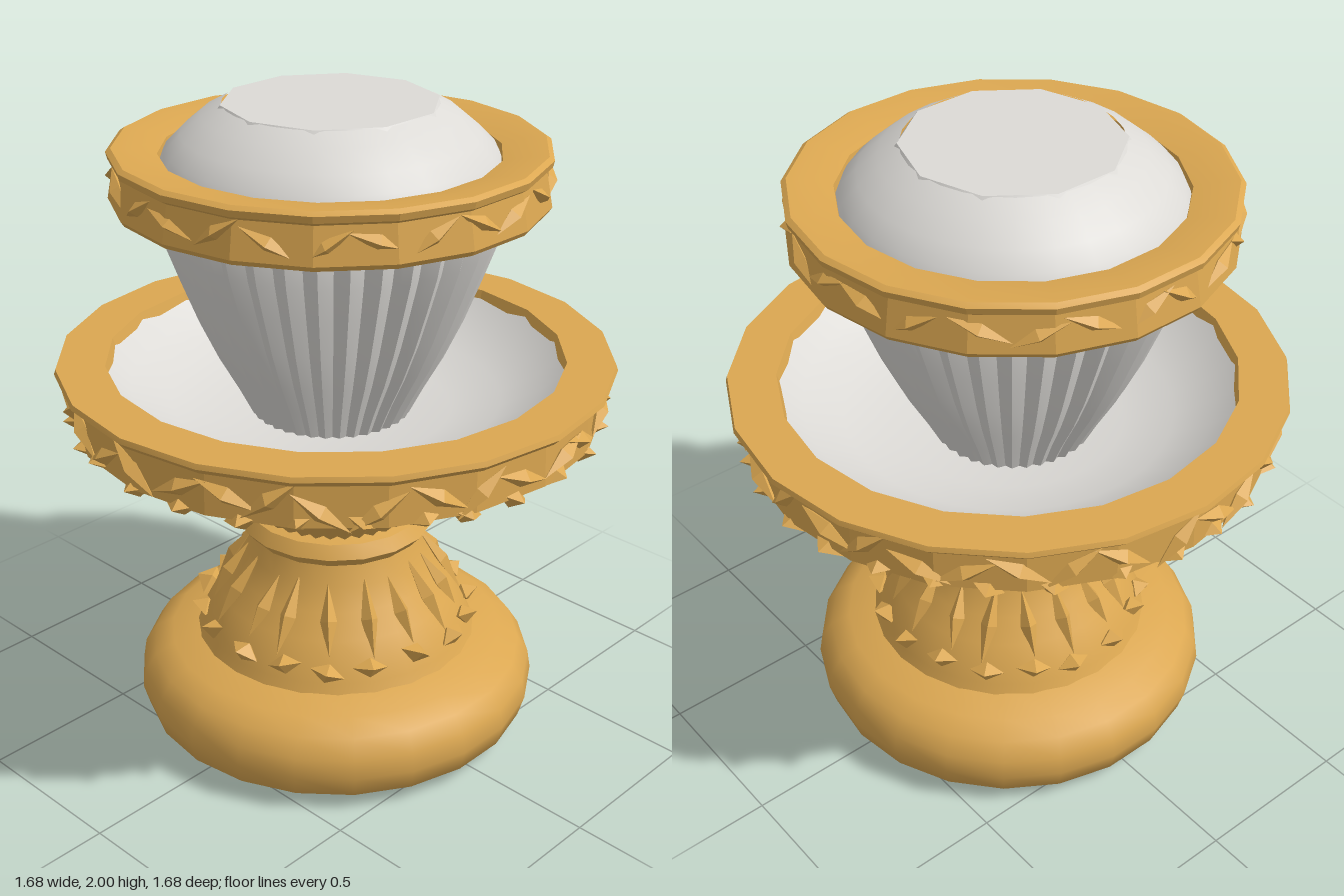
import * as THREE from 'three';
import { toCreasedNormals } from 'three/addons/utils/BufferGeometryUtils.js';

export function createModel() {
  const root = new THREE.Group();
  root.name = 'tieredFountain';
  const gold = new THREE.MeshStandardMaterial({ color: 0xdba751 });
  gold.name = 'warm gold';
  const white = new THREE.MeshStandardMaterial({ color: 0xdcdad6 });
  white.name = 'pale water and marble';

  // Small repeatable noise for the carved ornament
  let seed = 7;
  const rand = () => (seed = (seed * 16807) % 2147483647) / 2147483647;
  const vary = (amount) => (rand() - 0.5) * 2 * amount;

  const add = (name, geometry, material, parent = root) => {
    const mesh = new THREE.Mesh(geometry, material);
    mesh.name = name;
    parent.add(mesh);
    return mesh;
  };

  // Turned part from [radius, height] points, listed bottom to top on the outside
  const turn = (points, sides, crease = 0.6) => toCreasedNormals(
    new THREE.LatheGeometry(points.map(([r, y]) => new THREE.Vector2(r, y)), sides), crease);

  // Turned part with vertical flutes pressed into it
  const flute = (points, ribs, depth) => {
    const geometry = new THREE.LatheGeometry(points.map(([r, y]) => new THREE.Vector2(r, y)), ribs * 4);
    const p = geometry.attributes.position;
    for (let i = 0; i < p.count; i++) {
      const angle = Math.atan2(p.getX(i), p.getZ(i));
      const k = 1 - depth * (0.5 - 0.5 * Math.cos(angle * ribs));
      p.setXYZ(i, p.getX(i) * k, p.getY(i), p.getZ(i) * k);
    }
    return toCreasedNormals(geometry, 0.7);
  };

  // Ring of faceted leaves lying on a band or slope
  const leaves = (name, count, place) => {
    const group = new THREE.Group();
    group.name = name;
    for (let i = 0; i < count; i++) {
      const { r, y, size, tilt = 0, roll = 0 } = place(i);
      const geometry = new THREE.OctahedronGeometry(1).scale(...size)
        .rotateZ(roll).rotateX(tilt).translate(0, y, r)
        .rotateY(((i + vary(0.15)) / count) * Math.PI * 2);
      add('leaf', geometry, gold, group);
    }
    root.add(group);
    return group;
  };

  // Rounded foot
  add('base', turn([[0, 0.005], [0.48, 0.005], [0.56, 0.02], [0.615, 0.06], [0.635, 0.13],
    [0.625, 0.19], [0.59, 0.245], [0.53, 0.28], [0.43, 0.305]], 22, 0.9), gold);

  // Pedestal with carved leaves
  add('pedestal', turn([[0.45, 0.29], [0.43, 0.33], [0.415, 0.37], [0.37, 0.44], [0.32, 0.51],
    [0.28, 0.58], [0.255, 0.66]], 24, 0.9), gold);
  leaves('pedestalLongLeaves', 18, (i) => ({
    r: 0.335, y: 0.49, size: [0.026, i % 2 ? 0.14 : 0.115, 0.03], tilt: -0.55, roll: vary(0.12) }));
  leaves('pedestalLeafTips', 18, (i) => ({
    r: 0.42, y: 0.375 + vary(0.015), size: [0.055, 0.03, 0.045], tilt: -0.4, roll: vary(0.6) }));

  // Collar between pedestal and bowl
  add('collar', turn([[0.25, 0.645], [0.275, 0.65], [0.305, 0.685], [0.28, 0.725], [0.24, 0.735]], 18, 0.3), gold);

  // Large fluted bowl
  add('lowerBowl', flute([[0.245, 0.72], [0.29, 0.765], [0.36, 0.83], [0.45, 0.915],
    [0.545, 1.0], [0.63, 1.06], [0.73, 1.1]], 36, 0.07), gold);
  add('lowerRim', turn([[0.66, 1.09], [0.76, 1.06], [0.8, 1.07], [0.795, 1.195], [0.82, 1.205],
    [0.84, 1.225], [0.835, 1.24], [0.69, 1.24], [0.675, 1.19]], 20, 0.3), gold);
  leaves('lowerRimLeaves', 34, (i) => ({
    r: 0.795, y: 1.13 + vary(0.015), size: [0.1, 0.026, 0.03], roll: (i % 2 ? 0.55 : -0.5) + vary(0.2) }));
  leaves('lowerRimFringe', 30, () => ({
    r: 0.775, y: 1.075 + vary(0.01), size: [0.055, 0.032, 0.05], roll: vary(0.5) }));
  add('lowerBowlLining', turn([[0.695, 1.225], [0.62, 1.16], [0.5, 1.1], [0.35, 1.06], [0, 1.045]], 32, 1), white);

  // Upper tier, set slightly off the axis
  const upper = new THREE.Group();
  upper.name = 'upperTier';
  upper.position.x = -0.02;
  root.add(upper);
  add('upperCup', flute([[0.235, 1.04], [0.285, 1.14], [0.345, 1.25], [0.4, 1.37], [0.45, 1.5],
    [0.49, 1.61], [0.52, 1.73], [0.52, 1.8]], 36, 0.055), white, upper);
  add('upperRim', turn([[0.48, 1.725], [0.63, 1.72], [0.64, 1.735], [0.62, 1.84], [0.635, 1.85],
    [0.64, 1.87], [0.625, 1.88], [0.565, 1.875], [0.495, 1.86], [0.485, 1.8]], 18, 0.2), gold, upper);
  upper.add(leaves('upperRimLeaves', 26, (i) => ({
    r: 0.62, y: 1.79 + vary(0.01), size: [0.09, 0.022, 0.026], roll: (i % 2 ? 0.45 : -0.4) + vary(0.15) })));

  // Domed top with a flat ten-sided crown
  add('dome', turn([[0.495, 1.83], [0.475, 1.87], [0.43, 1.915], [0.37, 1.965], [0.31, 1.998]], 28, 0.9), white, upper);
  add('domeCrown', new THREE.CylinderGeometry(0.315, 0.33, 0.02, 10).translate(0, 1.99, 0), white, upper);

  return root;
}
